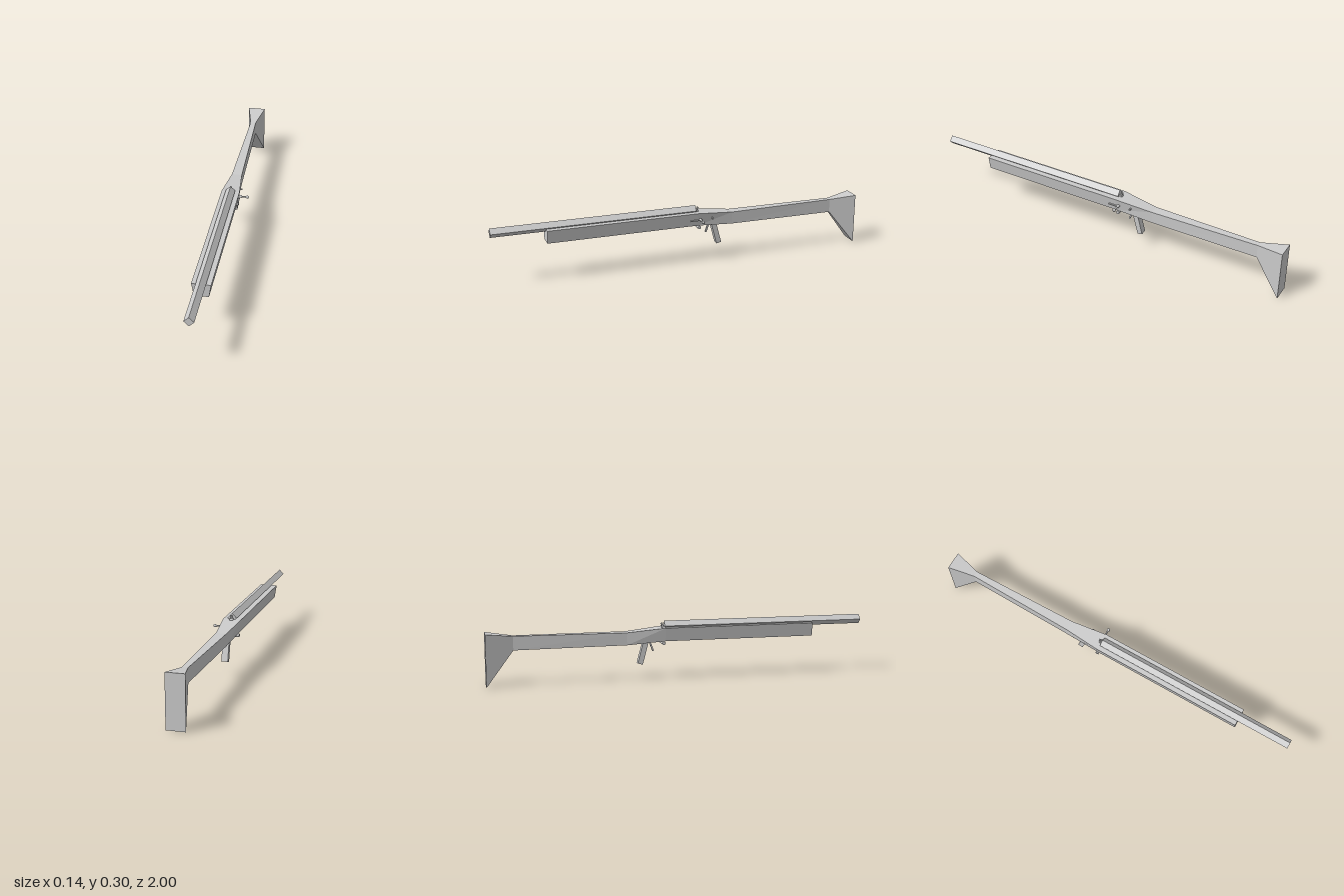
import * as THREE from 'three';

const CX = -0.025;

export function createModel() {
  const group = new THREE.Group();
  const mat = new THREE.MeshStandardMaterial({ color: 0xcccccc, flatShading: true });
  const smooth = new THREE.MeshStandardMaterial({ color: 0xcccccc });

  function add(name, geometry, x, y, z, rx = 0, ry = 0, rz = 0, material = mat) {
    const mesh = new THREE.Mesh(geometry, material);
    mesh.name = name;
    mesh.position.set(x, y, z);
    mesh.rotation.set(rx, ry, rz);
    group.add(mesh);
    return mesh;
  }

  // Four-cornered cross-sections joined along z
  // Each section: z, bottom y, top y, half width at the bottom, half width at the top
  function loft(sections) {
    const positions = [];
    const rings = sections.map(([z, yb, yt, wb, wt]) =>
      [[-wb, yb, z], [wb, yb, z], [wt, yt, z], [-wt, yt, z]]);
    const quad = (a, b, c, d) => positions.push(...a, ...b, ...c, ...a, ...c, ...d);
    for (let i = 0; i < rings.length - 1; i++) {
      const f = rings[i], b = rings[i + 1];
      for (let k = 0; k < 4; k++) {
        const n = (k + 1) % 4;
        quad(f[k], b[k], b[n], f[n]);
      }
    }
    const last = rings[rings.length - 1];
    quad(...rings[0]);
    quad(last[1], last[0], last[3], last[2]);
    const g = new THREE.BufferGeometry();
    g.setAttribute('position', new THREE.Float32BufferAttribute(positions, 3));
    g.computeVertexNormals();
    return g;
  }

  // Stock: fore-end, wrist and flared butt
  add('stock', loft([
    [0.72, 0.2, 0.27, 0.036, 0.0475],
    [-0.08, 0.2, 0.27, 0.036, 0.0475],
    [-0.28, 0.185, 0.25, 0.026, 0.027],
    [-0.86, 0.18, 0.252, 0.015, 0.015],
    [-1, 0, 0.27, 0.0475, 0.0475],
  ]), CX, 0, 0);

  // Square barrel standing on its edge
  add('barrel', new THREE.BoxGeometry(0.035, 0.035, 1.08), CX, 0.2775, 0.46, 0, 0, Math.PI / 4);

  // Small hammer behind the barrel
  add('hammer', new THREE.BoxGeometry(0.008, 0.03, 0.008), CX, 0.277, -0.09, -0.3);
  add('hammerPivot', new THREE.CylinderGeometry(0.009, 0.009, 0.018, 12), CX, 0.27, -0.087, 0, 0, Math.PI / 2);

  // Cross pin under the stock
  add('crossPin', new THREE.CylinderGeometry(0.009, 0.009, 0.084, 16), CX, 0.19, -0.09, 0, 0, Math.PI / 2, smooth);

  // Trigger and grip lean backward
  add('trigger', new THREE.BoxGeometry(0.01, 0.05, 0.008), CX, 0.17, -0.148, -0.35);
  add('grip', new THREE.BoxGeometry(0.034, 0.125, 0.027), CX, 0.142, -0.194, 0.26);

  // Side handle with a round knob
  const handle = [[0, -0.02], [0.007, -0.02], [0.007, 0.009], [0.004, 0.011], [0.004, 0.032],
    [0.0065, 0.035], [0.0088, 0.041], [0.0065, 0.047], [0, 0.05]];
  add('sideHandle', new THREE.LatheGeometry(handle.map(([r, y]) => new THREE.Vector2(r, y)), 16),
    0.021, 0.234, -0.095, 0, 0, -Math.PI / 2, smooth);
  add('handleRail', new THREE.BoxGeometry(0.006, 0.006, 0.06), 0.021, 0.232, -0.07);
  add('sidePin', new THREE.CylinderGeometry(0.005, 0.005, 0.03, 10), 0.01, 0.235, -0.163, 0, 0, Math.PI / 2);

  return group;
}
